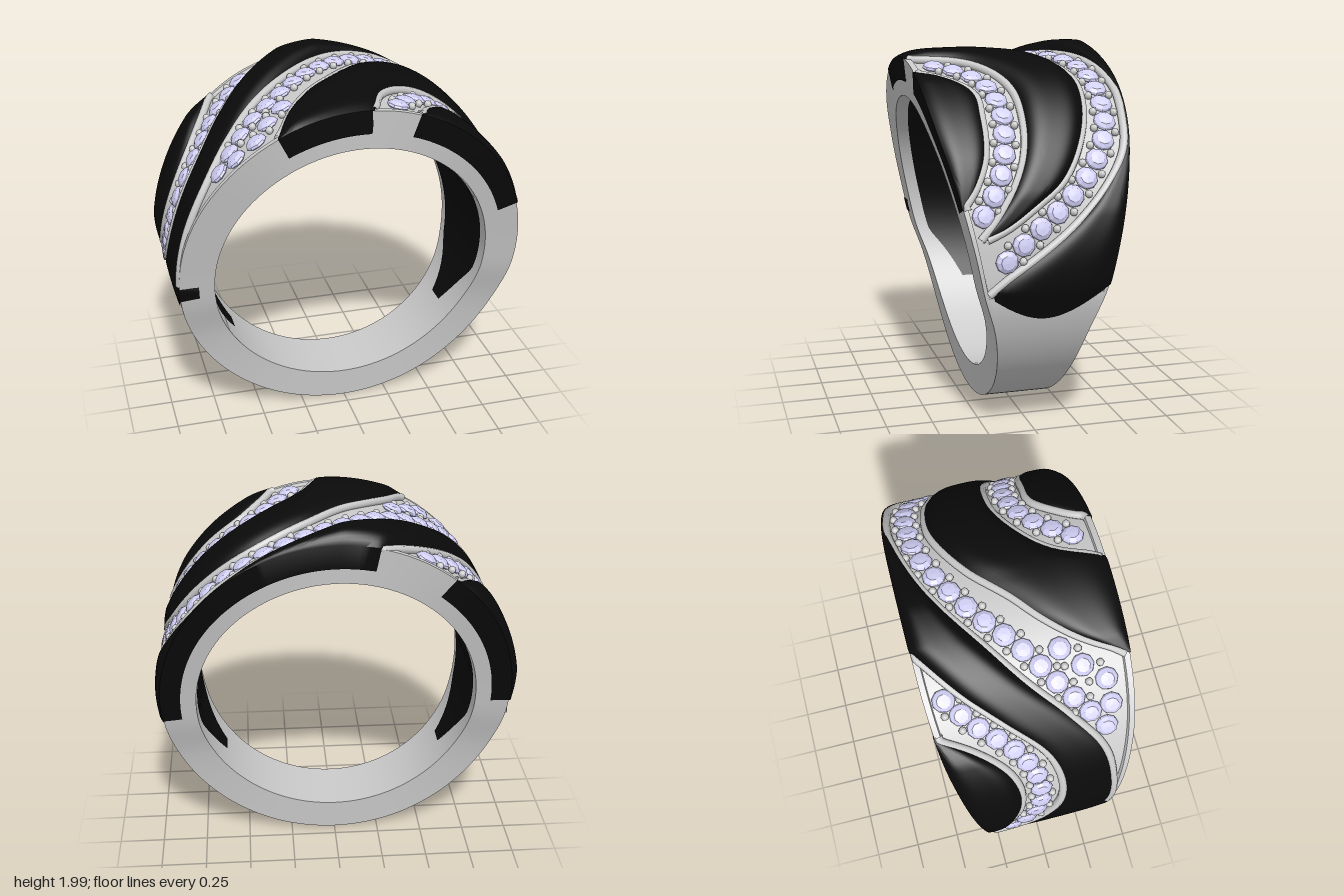
import * as THREE from 'three';
import { toCreasedNormals } from 'three/addons/utils/BufferGeometryUtils.js';

const CY = 0.935, RI = 0.765, DEG = Math.PI / 180;
const metal = new THREE.MeshStandardMaterial({ color: 0xcccccc, side: THREE.DoubleSide });
const enamel = new THREE.MeshStandardMaterial({ color: 0x0a0a0a, side: THREE.DoubleSide });
const stone = new THREE.MeshStandardMaterial({ color: 0xd2d0f6, flatShading: true });

// smooth function through [x, value] pairs
function smooth(pts) {
  const n = pts.length;
  const slope = i => {
    const a = pts[Math.max(0, i - 1)], b = pts[Math.min(n - 1, i + 1)];
    return (b[1] - a[1]) / (b[0] - a[0]);
  };
  const f = x => {
    if (x <= pts[0][0]) return pts[0][1];
    if (x >= pts[n - 1][0]) return pts[n - 1][1];
    let i = 0;
    while (x > pts[i + 1][0]) i++;
    const h = pts[i + 1][0] - pts[i][0], t = (x - pts[i][0]) / h, t2 = t * t, t3 = t2 * t;
    return (2 * t3 - 3 * t2 + 1) * pts[i][1] + (t3 - 2 * t2 + t) * h * slope(i)
      + (3 * t2 - 2 * t3) * pts[i + 1][1] + (t3 - t2) * h * slope(i + 1);
  };
  f.from = pts[0][0];
  f.to = pts[n - 1][0];
  return f;
}

// half width of the ring by height
const halfWidth = smooth([[0, 0.175], [0.2, 0.19], [0.4, 0.215], [0.6, 0.255], [0.8, 0.32], [1, 0.365],
  [1.2, 0.41], [1.4, 0.455], [1.6, 0.5], [1.8, 0.53], [2, 0.54]]);
// angle a: degrees from the top towards +x
const outerR = a => 0.955 + 0.02 * Math.cos(a * DEG);
const widthAt = (a, r = outerR(a)) => halfWidth(CY + r * Math.cos(a * DEG));
const polar = (a, r, z) => new THREE.Vector3(r * Math.sin(a * DEG), CY + r * Math.cos(a * DEG), z);
function onSurface(a, z, lift = 0) {
  const u = Math.min(1, Math.abs(z) / widthAt(a));
  return polar(a, outerR(a) + 0.004 * (1 - u * u) * (1 + Math.cos(a * DEG)) + lift, z);
}
// sunken floor of the stone bands
const floorDepth = smooth([[-104, 0], [-92, 0.02], [-80, 0.02], [80, 0.02], [88, 0.02], [100, 0]]);

// mesh from a grid of points
function grid(name, rows, cols, fn, material) {
  const pos = [], idx = [];
  for (let i = 0; i <= rows; i++) for (let j = 0; j <= cols; j++) pos.push(...fn(i, j).toArray());
  for (let i = 0; i < rows; i++) for (let j = 0; j < cols; j++) {
    const a = i * (cols + 1) + j, b = a + cols + 1;
    idx.push(a, a + 1, b, a + 1, b + 1, b);
  }
  const g = new THREE.BufferGeometry();
  g.setAttribute('position', new THREE.Float32BufferAttribute(pos, 3));
  g.setIndex(idx);
  const mesh = new THREE.Mesh(toCreasedNormals(g, 0.6), material);
  mesh.name = name;
  return mesh;
}

// edges of the three stone bands: angle -> z
const mainBack = smooth([[-89, 0.345], [-72, 0.36], [-55, 0.32], [-41, 0.17], [-29, 0], [-17, -0.15], [0, -0.35],
  [14, -0.45], [31, -0.5], [47, -0.49], [58, -0.42], [68, -0.3], [77, -0.15], [84, 0], [93, 0.22], [97, 0.3]]);
const mainFront = smooth([[-27, 0.53], [-19, 0.3], [-11, 0.14], [-3, 0.02], [9, -0.17], [24, -0.29], [38, -0.29],
  [52, -0.22], [64, -0.1], [71, 0.05], [77, 0.2], [80, 0.31]]);
const smallBack = smooth([[3, 0.54], [9, 0.3], [18, 0.15], [30, 0.06], [43, 0.05], [55, 0.08], [65, 0.15], [74, 0.25], [80, 0.34]]);
const smallFront = smooth([[18, 0.54], [23, 0.4], [31, 0.27], [42, 0.26], [55, 0.28], [64, 0.34], [71, 0.42]]);
const sideBack = smooth([[-92, -0.31], [-85, -0.22], [-75, -0.15], [-65, -0.14], [-55, -0.2], [-46, -0.34], [-38, -0.54]]);
const sideFront = smooth([[-98, -0.31], [-91, -0.1], [-82, 0.03], [-72, 0.08], [-60, 0.07], [-50, 0], [-38, -0.18], [-27, -0.35], [-12, -0.54]]);

// raised enamel panel between two edges, with skirts that show on the ring's flanks;
// bulge gives the pillow height by angle, cap the degrees of rounding at both ends
function panel(name, from, to, lo, hi, bulge, cap = 0) {
  const capRows = cap ? 6 : 0, body = Math.round((to - from) / 1.5), cols = 18;
  return grid(name, body + 2 * capRows, cols + 2, (i, j) => {
    const k = i < capRows ? i - capRows : Math.max(0, i - capRows - body);
    const a0 = from + (to - from) * Math.min(1, Math.max(0, (i - capRows) / body));
    const w = widthAt(a0) + 0.004;
    const l = Math.max(-w, lo(a0)), h = Math.max(l, Math.min(w, hi(a0)));
    const v = Math.min(1, Math.max(0, (j - 1) / cols));
    const u = (l + (h - l) * v) / w, end = k / (capRows || 1), a = a0 + end * cap * (1 - u * u);
    if (j === 0 || j === cols + 2) return polar(a, 0.85, u * (widthAt(a, 0.85) + 0.004));
    const fade = Math.min(1, (h - l) / 0.2) * (1 - Math.abs(end));
    return onSurface(a, u * (widthAt(a) + 0.004), 0.004 + bulge(a) * (1 - (2 * v - 1) ** 4) * fade);
  }, enamel);
}

// brilliant-cut stone
const gemShape = new THREE.LatheGeometry([[0, -0.04], [0.06, 0.008], [0.055, 0.02], [0.036, 0.033], [0, 0.036]]
  .map(p => new THREE.Vector2(...p)), 9);
const beadShape = new THREE.SphereGeometry(0.021, 8, 6);

// row of stones with setting beads on both sides
function stoneRow(name, path, beads = true) {
  const group = new THREE.Group();
  group.name = name;
  const curve = new THREE.CatmullRomCurve3(path.map(([a, z]) => onSurface(a, z, -floorDepth(a))));
  const n = Math.max(1, Math.round(curve.getLength() / 0.117));
  for (let i = 0; i <= n; i++) {
    const p = curve.getPointAt(i / n);
    const up = new THREE.Vector3(p.x, p.y - CY, 0).normalize();
    const gem = new THREE.Mesh(gemShape, stone);
    gem.name = 'stone';
    gem.position.copy(p);
    gem.quaternion.setFromUnitVectors(new THREE.Vector3(0, 1, 0), up);
    group.add(gem);
    if (!beads || i === n) continue;
    const q = curve.getPointAt((i + 0.5) / n);
    const across = curve.getTangentAt((i + 0.5) / n).cross(up).normalize();
    for (const s of [-1, 1]) {
      const bead = new THREE.Mesh(beadShape, metal);
      bead.name = 'settingBead';
      bead.position.copy(q).addScaledVector(across, s * 0.056).addScaledVector(up, 0.012);
      group.add(bead);
    }
  }
  return group;
}

// metal rail along the edge of a band
function rail(edge) {
  const pts = [];
  for (let i = 0; i <= 40; i++) {
    const a = edge.from + (edge.to - edge.from) * i / 40, w = widthAt(a) - 0.022;
    pts.push(onSurface(a, Math.max(-w, Math.min(w, edge(a))), -0.006));
  }
  const mesh = new THREE.Mesh(new THREE.TubeGeometry(new THREE.CatmullRomCurve3(pts), 90, 0.022, 8), metal);
  mesh.name = 'bandRail';
  return mesh;
}

export function createModel() {
  const ring = new THREE.Group();
  ring.name = 'ring';

  // metal shank: closed cross-section swept around the finger hole, sunken between its rims
  const across = [-1, -0.94, -0.93, -0.6, -0.3, 0, 0.3, 0.6, 0.93, 0.94, 1];
  ring.add(grid('shank', 120, 13, (i, j) => {
    const a = i * 3 - 180;
    if (j === 0 || j === 13) return polar(a, RI, -widthAt(a, RI));
    if (j === 12) return polar(a, RI, widthAt(a, RI));
    const u = across[j - 1];
    return onSurface(a, u * widthAt(a), Math.abs(u) < 0.935 ? -floorDepth(a) : 0);
  }, metal));

  // enamel lining inside the upper part of the hole
  ring.add(grid('innerLining', 84, 4, (i, j) => {
    const a = -126 + i * 3;
    const taper = Math.min(1, 0.35 + (126 - Math.abs(a)) / 35);
    return polar(a, RI - 0.004, (1 - j / 2) * (widthAt(a, RI) - 0.07) * taper);
  }, enamel));

  // enamel panels
  ring.add(
    panel('longPanel', -95, 96, a => (a < -12 ? sideFront(a) : -1), a => (a < -89 ? 1 : mainBack(a)),
      smooth([[-70, 0.006], [-40, 0.025], [-10, 0.068], [20, 0.058], [60, 0.028], [96, 0.03]]), 10),
    panel('middlePanel', -27, 80, mainFront, a => (a < 3 ? 1 : smallBack(a)),
      smooth([[-27, 0.025], [0, 0.04], [30, 0.055], [60, 0.035], [80, 0.02]])),
    panel('frontPanel', 18, 71, smallFront, () => 1, () => 0.025),
    panel('backPanel', -92, -38, () => -1, sideBack, () => 0.04),
  );

  // stone bands and their rails
  for (const edge of [mainBack, mainFront, smallBack, smallFront, sideBack, sideFront]) ring.add(rail(edge));
  ring.add(
    stoneRow('mainStones', [[-42, 0.28], [-33, 0.17], [-24, 0.07], [-15, -0.04], [-9, -0.13], [3, -0.27], [18, -0.38],
      [32, -0.4], [46, -0.38], [55, -0.32], [63, -0.23], [71, -0.1], [77, 0.02], [82, 0.12], [87, 0.21]]),
    stoneRow('fillStones', [[-33, 0.39], [-27, 0.28], [-21, 0.19]]),
    stoneRow('cornerStones', [[-41, 0.39], [-48, 0.35]], false),
    stoneRow('smallStones', [[13, 0.41], [20, 0.27], [27, 0.19], [38, 0.15], [47, 0.16], [57, 0.19], [65, 0.24], [73, 0.32]]),
    stoneRow('sideStones', [[-28, -0.43], [-38, -0.3], [-50, -0.12], [-62, -0.04], [-75, -0.04], [-85, -0.1], [-92, -0.2]]),
  );
  return ring;
}
